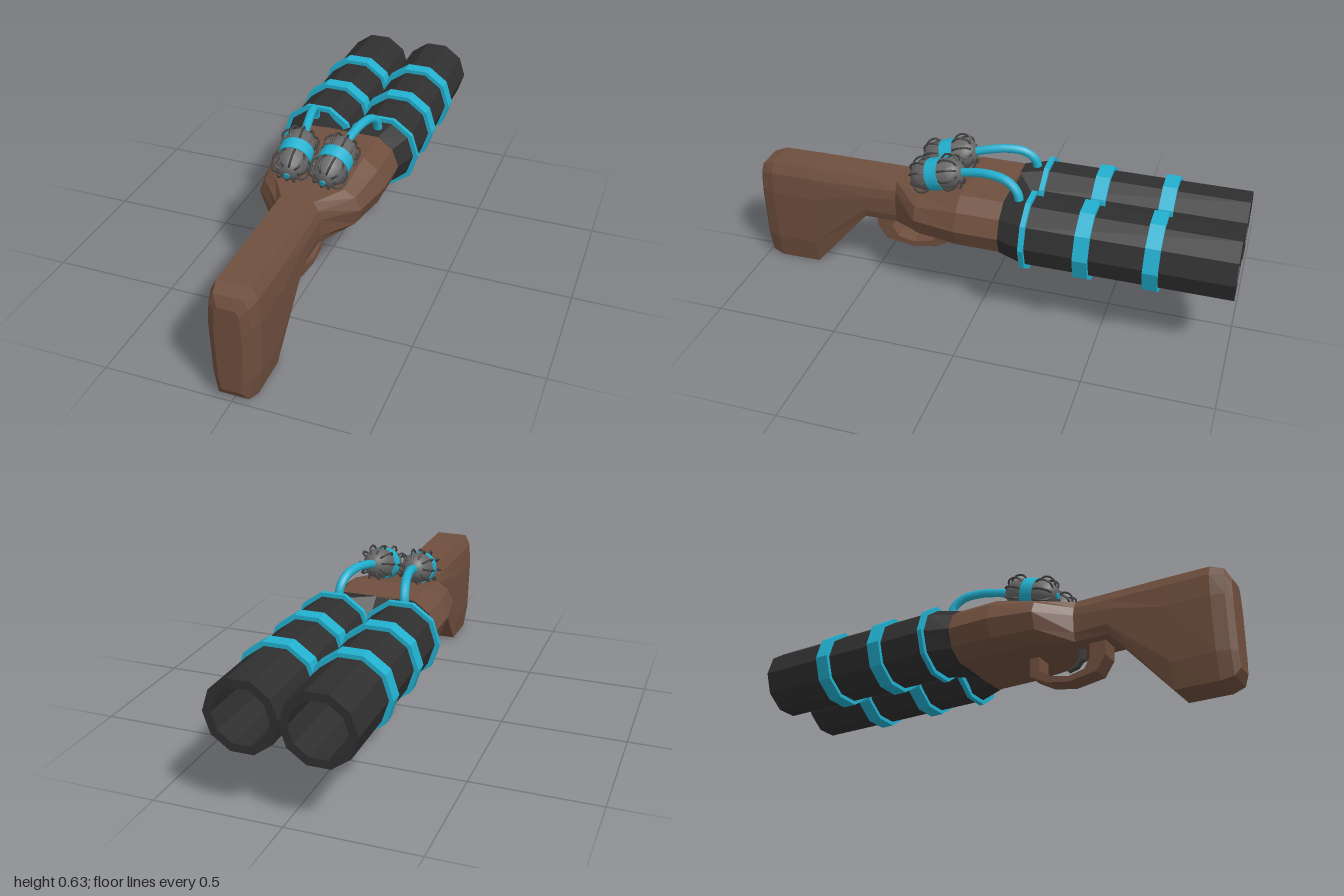
import * as THREE from 'three';

const mat = (name, color) => Object.assign(new THREE.MeshStandardMaterial({ color }), { name });

export function createModel() {
  const wood = mat('brown wood', 0x6f4f3e);
  const black = mat('black metal', 0x2f2f2f);
  const cyan = mat('cyan', 0x22b0cf);
  const grey = mat('grey metal', 0x666666);
  const dark = mat('dark grey wire', 0x434343);

  const model = new THREE.Group();
  model.name = 'doubleBarrelGun';

  const add = (parent, name, geometry, material) => {
    const mesh = new THREE.Mesh(geometry, material);
    mesh.name = name;
    parent.add(mesh);
    return mesh;
  };

  // Faceted normals
  const flat = (g) => {
    const f = g.index ? g.toNonIndexed() : g;
    f.computeVertexNormals();
    return f;
  };

  // Loft of symmetric sections; each is [z, half outline from top to bottom]
  const loft = (sections) => {
    const rings = sections.map(([z, half]) => {
      const left = half.filter((p) => p[0] > 0).reverse().map(([x, y]) => [-x, y]);
      return [...half, ...left].map(([x, y]) => [x, y, z]);
    });
    const n = rings[0].length;
    const index = [];
    for (let s = 0; s < rings.length - 1; s++) {
      for (let i = 0; i < n; i++) {
        const a = s * n + i, b = s * n + (i + 1) % n;
        index.push(a, a + n, b, b, a + n, b + n);
      }
    }
    const end = (rings.length - 1) * n;
    for (let i = 1; i < n - 1; i++) index.push(0, i, i + 1, end, end + i + 1, end + i);
    const g = new THREE.BufferGeometry();
    g.setAttribute('position', new THREE.Float32BufferAttribute(rings.flat(2), 3));
    g.setIndex(index);
    return flat(g);
  };

  // Ten-sided turned part along -z; profile is [radius, distance forward]
  const turned = (profile) => {
    const pts = profile.map(([r, d]) => new THREE.Vector2(r, d));
    return flat(new THREE.LatheGeometry(pts, 10, Math.PI / 2).rotateX(-Math.PI / 2));
  };

  // Side outline in (z, y) given a width in x
  const plate = (outline, width) => {
    const shape = new THREE.Shape(outline.map(([z, y]) => new THREE.Vector2(z, y)));
    const g = new THREE.ExtrudeGeometry(shape, { depth: width, bevelEnabled: false });
    return g.rotateY(-Math.PI / 2).translate(width / 2, 0, 0);
  };

  // Receiver and stock
  const receiver = [[0.155, 0.51], [0.215, 0.465], [0.243, 0.393], [0.215, 0.32], [0.155, 0.28]];
  add(model, 'stock', loft([
    [-0.1, receiver],
    [0.08, receiver],
    [0.26, [[0.14, 0.467], [0.185, 0.44], [0.208, 0.39], [0.185, 0.325], [0.135, 0.283]]],
    [0.38, [[0.065, 0.465], [0.085, 0.43], [0.092, 0.393], [0.09, 0.32], [0.08, 0.285]]],
    [0.52, [[0.065, 0.465], [0.086, 0.425], [0.094, 0.385], [0.092, 0.32], [0.08, 0.285]]],
    [0.76, [[0.065, 0.465], [0.087, 0.42], [0.095, 0.33], [0.087, 0.11], [0.07, 0.005]]],
    [0.93, [[0.065, 0.463], [0.087, 0.42], [0.094, 0.33], [0.087, 0.11], [0.07, 0.003]]],
    [0.98, [[0.055, 0.445], [0.072, 0.41], [0.08, 0.33], [0.073, 0.11], [0.058, 0.015]]],
    [1.0, [[0.035, 0.405], [0.046, 0.38], [0.052, 0.3], [0.047, 0.11], [0.038, 0.05]]],
  ]), wood);

  // Collar between receiver and barrels
  add(model, 'collar', loft([
    [-0.195, [[0, 0.42], [0.095, 0.526], [0.181, 0.526], [0.251, 0.475], [0.278, 0.393],
      [0.251, 0.311], [0.181, 0.26], [0.095, 0.26], [0, 0.366]]],
    [-0.095, [[0, 0.511], [0.08, 0.511], [0.156, 0.511], [0.216, 0.466], [0.244, 0.393],
      [0.216, 0.319], [0.156, 0.279], [0.08, 0.279], [0, 0.279]]],
  ]), black);

  // Trigger guard and trigger
  add(model, 'triggerGuard', plate([
    [0.49, 0.3], [0.485, 0.225], [0.445, 0.165], [0.325, 0.147], [0.23, 0.165], [0.16, 0.205], [0.16, 0.3],
    [0.2, 0.3], [0.2, 0.222], [0.245, 0.19], [0.325, 0.17], [0.395, 0.185], [0.42, 0.23], [0.42, 0.3],
  ], 0.08), wood);
  add(model, 'trigger', plate([
    [0.385, 0.29], [0.375, 0.245], [0.35, 0.215], [0.31, 0.205], [0.345, 0.228], [0.36, 0.255], [0.358, 0.29],
  ], 0.025), dark);

  for (const side of [1, -1]) {
    const label = side > 0 ? 'left' : 'right';

    // Hollow barrel with three bands
    const barrel = new THREE.Group();
    barrel.name = label + 'Barrel';
    barrel.position.set(side * 0.138, 0.393, 0);
    model.add(barrel);
    add(barrel, 'barrelTube', turned([[0.14, 0.19], [0.14, 1], [0.108, 1], [0.108, 0.25], [0, 0.25]]), black);
    for (const [near, far] of [[0.19, 0.21], [0.4, 0.457], [0.663, 0.72]]) {
      add(barrel, 'barrelBand',
        turned([[0.13, near], [0.157, near], [0.157, far], [0.13, far]]), cyan);
    }

    // Tilted canister, local +y pointing to the barrels
    const rear = new THREE.Vector3(side * 0.072, 0.508, 0.308);
    const front = new THREE.Vector3(side * 0.088, 0.577, 0.088);
    const canister = new THREE.Group();
    canister.name = label + 'Canister';
    canister.position.copy(rear).add(front).multiplyScalar(0.5);
    canister.quaternion.setFromUnitVectors(new THREE.Vector3(0, 1, 0), front.clone().sub(rear).normalize());
    model.add(canister);

    const shell = [[0, -0.115], [0.028, -0.11], [0.048, -0.092], [0.06, -0.062], [0.063, -0.02]];
    const body = [...shell, ...shell.map(([r, y]) => [r, -y]).reverse()];
    add(canister, 'canisterShell',
      new THREE.LatheGeometry(body.map(([r, y]) => new THREE.Vector2(r, y)), 16), grey);
    add(canister, 'canisterBand', new THREE.CylinderGeometry(0.066, 0.066, 0.052, 16), cyan);
    add(canister, 'endCap', new THREE.CylinderGeometry(0.012, 0.012, 0.008, 12).translate(0, -0.114, 0), cyan);

    // Cage wires bowed over both halves
    for (const end of [1, -1]) {
      const curve = new THREE.CatmullRomCurve3(
        [[0.036, 0.1], [0.058, 0.095], [0.072, 0.075], [0.074, 0.05], [0.06, 0.03]]
          .map(([r, y]) => new THREE.Vector3(r, end * y, 0)));
      const wire = new THREE.TubeGeometry(curve, 8, 0.0045, 5);
      for (let i = 0; i < 10; i++) {
        add(canister, 'cageWire', wire, dark).rotation.y = (i / 10) * Math.PI * 2;
      }
    }

    // Hose from canister down into the barrel
    const hose = new THREE.CatmullRomCurve3([
      [0.087, 0.57, 0.1], [0.095, 0.585, 0.04], [0.108, 0.594, -0.03],
      [0.122, 0.585, -0.1], [0.132, 0.55, -0.142], [0.136, 0.5, -0.155],
    ].map(([x, y, z]) => new THREE.Vector3(side * x, y, z)));
    add(model, label + 'Hose', new THREE.TubeGeometry(hose, 20, 0.018, 8), cyan);
  }
  return model;
}
